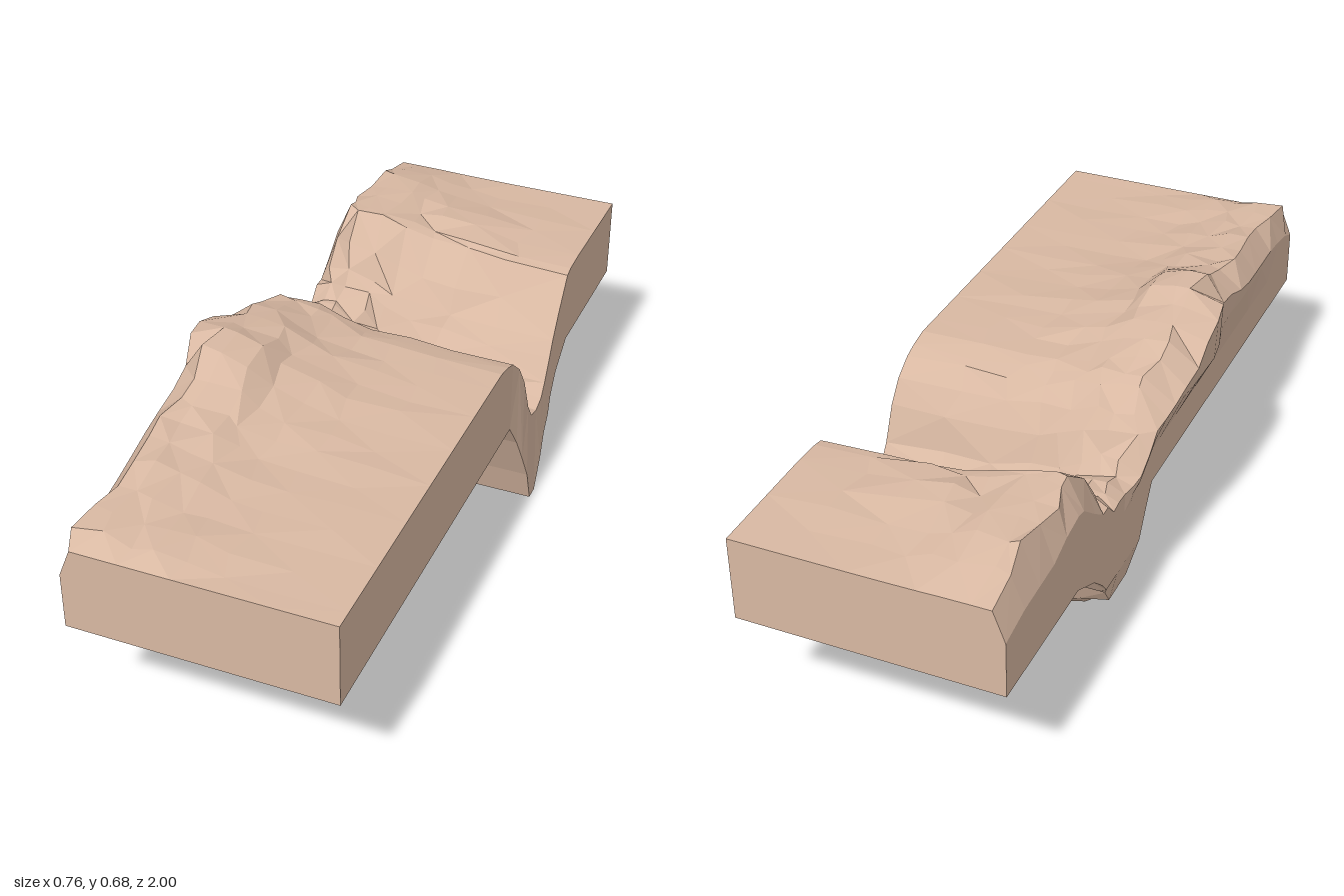
import * as THREE from 'three';

// Piecewise linear lookup in a list of [position, value], positions ascending
function sample(table, t) {
  if (t <= table[0][0]) return table[0][1];
  for (let i = 1; i < table.length; i++) {
    const [t1, v1] = table[i], [t0, v0] = table[i - 1];
    if (t <= t1) return v0 + (v1 - v0) * (t - t0) / (t1 - t0);
  }
  return table[table.length - 1][1];
}

// Repeatable noise in -1..1
let seed = 11;
function noise() {
  seed = (seed * 16807) % 2147483647;
  return (seed / 2147483647) * 2 - 1;
}

// Height of the top along the ridge (left) and along the low plain (right)
const ridge = [[-1, 0.55], [-0.9, 0.58], [-0.8, 0.61], [-0.7, 0.6], [-0.57, 0.62], [-0.5, 0.55],
  [-0.44, 0.47], [-0.38, 0.43], [-0.25, 0.425], [-0.2, 0.5], [-0.12, 0.59], [0, 0.615], [0.1, 0.65],
  [0.24, 0.69], [0.32, 0.675], [0.4, 0.645], [0.5, 0.61], [0.7, 0.6], [0.8, 0.58], [0.95, 0.575], [1, 0.545]];
const plain = [[-1, 0.545], [-0.62, 0.55], [-0.57, 0.54], [-0.5, 0.46], [-0.43, 0.38], [-0.36, 0.28],
  [-0.3, 0.26], [-0.25, 0.28], [-0.2, 0.42], [-0.16, 0.49], [-0.11, 0.53], [-0.03, 0.547], [1, 0.545]];
// Left rim: how far out it bulges and how high it sits
const rimX = [[-1, -0.32], [-0.3, -0.32], [-0.2, -0.34], [0, -0.375], [0.2, -0.38], [0.35, -0.335],
  [0.5, -0.345], [0.7, -0.33], [0.85, -0.32], [1, -0.32]];
const rimY = [[-1, 0.47], [-0.8, 0.5], [-0.57, 0.53], [-0.45, 0.44], [-0.36, 0.4], [-0.25, 0.4], [-0.15, 0.52],
  [0, 0.56], [0.2, 0.66], [0.35, 0.59], [0.6, 0.54], [0.85, 0.52], [1, 0.47]];
// Underside: flat, dropping into a stepped keel whose left end curves up
const keel = [[-0.6, 0.32], [-0.5, 0.27], [-0.45, 0.225], [-0.42, 0.18], [-0.38, 0.145], [-0.35, 0.08],
  [-0.31, 0], [-0.27, 0], [-0.235, 0.1], [-0.2, 0.175], [-0.165, 0.25], [-0.12, 0.32]];
const keelEnd = [[-0.32, 0.19], [-0.3, 0.1], [-0.22, 0.04], [-0.08, 0]];

const topX = [0, -0.29, -0.24, -0.17, -0.11, -0.04, 0.06, 0.2, 0.36];
const ridgeShare = [1, 1, 0.96, 0.8, 0.48, 0.26, 0.12, 0.05, 0];
const bottomX = [-0.32, -0.3, -0.22, -0.08, 0.02, 0.12, 0.22, 0.3, 0.36];
const stations = [1, 0.95, 0.87, 0.79, 0.7, 0.62, 0.54, 0.47, 0.4, 0.32, 0.24, 0.17, 0.1, 0.04, -0.03, -0.08,
  -0.12, -0.165, -0.2, -0.235, -0.27, -0.31, -0.35, -0.38, -0.42, -0.45, -0.5, -0.57, -0.6, -0.67, -0.74,
  -0.82, -0.9, -1];

// One closed cross-section, anticlockwise seen from the front
function section(z) {
  const loop = [];
  const inner = Math.abs(z) < 0.99 ? 1 : 0;
  const flare = Math.min(1, (0.32 - sample(keel, z)) / 0.2) * 0.02;
  bottomX.forEach((x, i) => {
    const last = i === bottomX.length - 1;
    loop.push([x + (last ? flare : 0), Math.max(sample(keel, z), sample(keelEnd, x)), z]);
  });
  for (let i = topX.length - 1; i > 0; i--) {
    const last = i === topX.length - 1;
    const low = sample(plain, z), high = sample(ridge, z);
    const rough = last ? 0 : inner;
    // gentle swell in the middle of the rear block
    const swell = last ? 0 : 0.025 * Math.exp(-(((z + 0.68) / 0.12) ** 2) - ((topX[i] - 0.02) / 0.14) ** 2);
    const amount = topX[i] < 0 ? 0.009 : 0.004;
    loop.push([
      topX[i] + (last ? flare * 0.6 : rough * noise() * 0.018),
      low + (high - low) * ridgeShare[i] + swell + rough * noise() * amount,
      z + rough * noise() * 0.011,
    ]);
  }
  const edge = sample(rimX, z), edgeY = sample(rimY, z);
  loop.push([edge, edgeY + inner * noise() * 0.012, z]);
  // outer wall: overhang tucks back in below the rim
  const bulge = (edge + 0.32) * 0.9;
  loop.push([-0.32 + bulge, Math.min(0.53, edgeY - 0.02), z]);
  loop.push([-0.32, Math.min(0.42, edgeY - 0.05), z]);
  return loop;
}

function buildTerrain() {
  const rings = stations.map(section);
  const n = rings[0].length;
  const positions = rings.flat(2);
  const index = [];
  for (let s = 0; s < rings.length - 1; s++) {
    for (let j = 0; j < n; j++) {
      const a = s * n + j, b = s * n + (j + 1) % n;
      const c = b + n, d = a + n;
      if ((s + j) % 2) index.push(a, d, b, b, d, c);
      else index.push(a, d, c, a, c, b);
    }
  }
  // flat cut ends
  [[0, 1], [rings.length - 1, -1]].forEach(([s, z]) => {
    const centre = positions.length / 3;
    positions.push(0, 0.42, z);
    for (let j = 0; j < n; j++) {
      const a = s * n + j, b = s * n + (j + 1) % n;
      if (z > 0) index.push(centre, a, b);
      else index.push(centre, b, a);
    }
  });
  const indexed = new THREE.BufferGeometry();
  indexed.setAttribute('position', new THREE.Float32BufferAttribute(positions, 3));
  indexed.setIndex(index);
  const geometry = indexed.toNonIndexed();
  geometry.computeVertexNormals();
  return geometry;
}

export function createModel() {
  seed = 11;
  const group = new THREE.Group();
  group.name = 'terrainBlock';
  const clay = new THREE.MeshStandardMaterial({ color: 0xd8b8a2 });
  clay.name = 'clay';
  // rocky slab with a gully and a keel beneath it
  const terrain = new THREE.Mesh(buildTerrain(), clay);
  terrain.name = 'rockySlab';
  group.add(terrain);
  return group;
}
